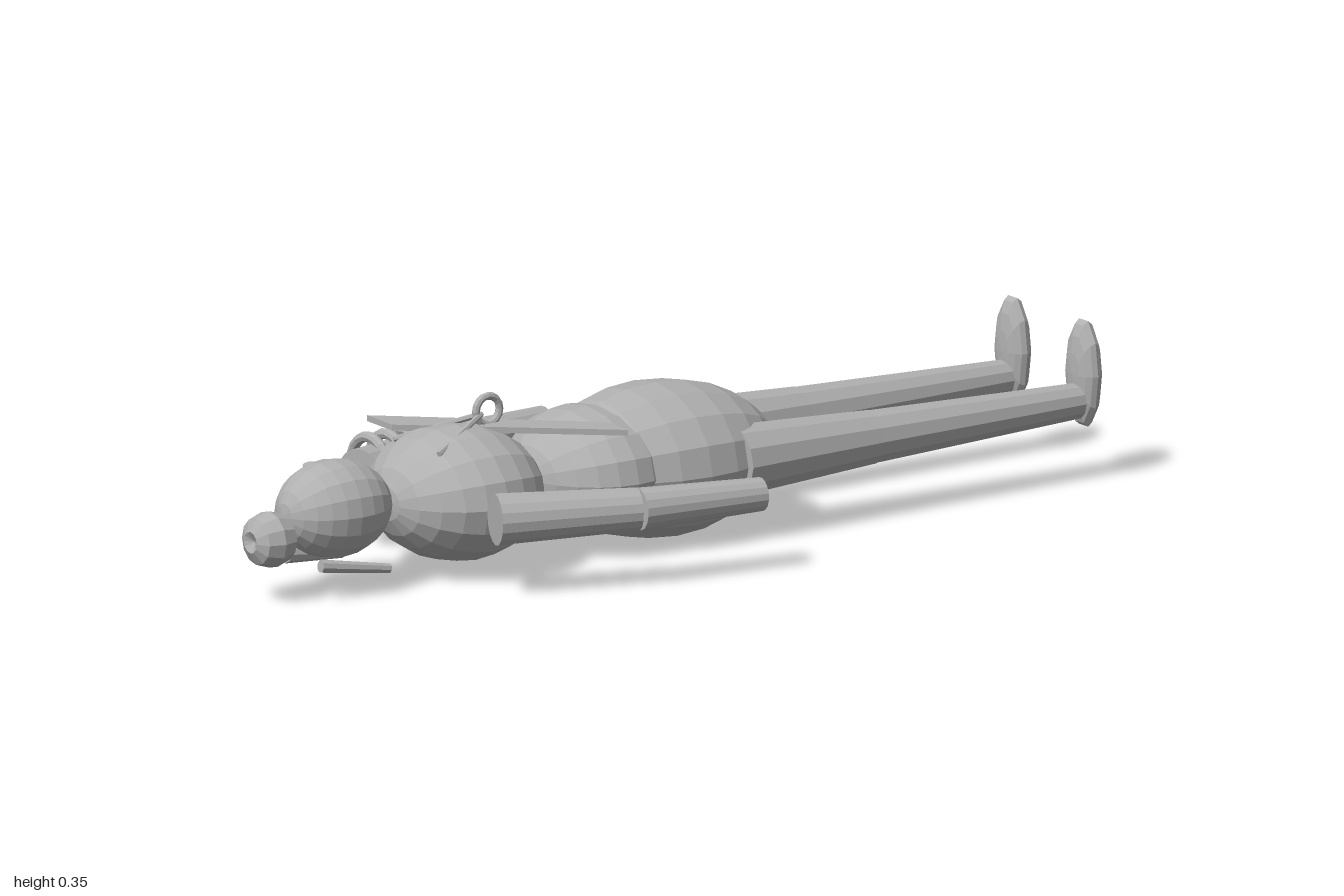
import * as THREE from 'three';

export function createModel() {
  const model = new THREE.Group();
  model.name = 'recliningFigure';
  const grey = new THREE.MeshStandardMaterial({ color: 0xb0b0b0, flatShading: true });
  grey.name = 'plain grey';

  const add = (name, geometry, x = 0, y = 0, z = 0) => {
    const mesh = new THREE.Mesh(geometry, grey);
    mesh.name = name;
    mesh.position.set(x, y, z);
    model.add(mesh);
    return mesh;
  };

  // Ellipsoid with its poles along z
  const ellipsoid = (name, [x, y, z], [rx, ry, rz], sides = 16, rings = 12) =>
    add(name, new THREE.SphereGeometry(1, sides, rings).rotateX(Math.PI / 2).scale(rx, ry, rz), x, y, z);

  // Tapered rod between two points
  const rod = (name, from, to, r0, r1, sides = 12) => {
    const a = new THREE.Vector3(...from), b = new THREE.Vector3(...to);
    const dir = b.clone().sub(a);
    const mesh = add(name, new THREE.CylinderGeometry(r1, r0, dir.length(), sides));
    mesh.position.copy(a).add(b).multiplyScalar(0.5);
    mesh.quaternion.setFromUnitVectors(new THREE.Vector3(0, 1, 0), dir.normalize());
    return mesh;
  };

  // Body and head
  ellipsoid('hips', [0, 0.159, 0], [0.195, 0.157, 0.265]);
  ellipsoid('waist', [0, 0.165, 0.17], [0.18, 0.127, 0.16]);
  ellipsoid('chest', [0, 0.163, 0.495], [0.185, 0.138, 0.177]);
  ellipsoid('head', [0, 0.172, 0.795], [0.1, 0.1, 0.126]);
  add('hairBun', new THREE.TorusGeometry(0.022, 0.036, 8, 12).scale(1, 1, 1.32), 0, 0.13, 0.953);

  // Limbs
  for (const [side, s] of [['left', 1], ['right', -1]]) {
    rod(side + 'Thigh', [s * 0.122, 0.163, -0.1], [s * 0.122, 0.163, -0.437], 0.074, 0.056);
    rod(side + 'Shin', [s * 0.122, 0.163, -0.437], [s * 0.122, 0.163, -0.95], 0.055, 0.037);
    ellipsoid(side + 'Foot', [s * 0.12, 0.218, -0.971], [0.05, 0.114, 0.028], 10, 8);
    rod(side + 'UpperArm', [s * 0.23, 0.16, 0.563], [s * 0.326, 0.16, 0.282], 0.053, 0.044, 16);
    rod(side + 'Forearm', [s * 0.328, 0.16, 0.28], [s * 0.37, 0.16, 0.008], 0.043, 0.034, 16);
    // Chain rods running from the pendant to the shoulders
    rod(side + 'NecklaceRod', [0, 0.312, 0.43], [s * 0.077, 0.268, 0.59], 0.006, 0.006, 6);
    // Hair pins behind the head
    rod(side + 'HairPin', [s * 0.06, 0.075, 0.87], [s * 0.08, 0.052, 0.715],
      s < 0 ? 0.018 : 0.014, 0.01, 8);
  }

  // Bangles on the right arm
  for (const z of [0.42, 0.465, 0.51])
    add('bangle', new THREE.TorusGeometry(0.063, 0.011, 8, 20), -0.267, 0.16, z);

  // Ring pendant standing on the chest
  add('pendantRing', new THREE.TorusGeometry(0.029, 0.008, 8, 16).rotateY(Math.PI / 2), 0, 0.318, 0.414);

  // Diagonal sash across the chest
  const outline = [[-0.175, -0.585], [-0.09, -0.585], [0.195, -0.21], [0.125, -0.21]];
  const sash = new THREE.ExtrudeGeometry(
    new THREE.Shape(outline.map(([x, y]) => new THREE.Vector2(x, y))),
    { depth: 0.012, bevelEnabled: false });
  add('sash', sash.rotateX(-Math.PI / 2), 0, 0.28, 0).rotation.z = -0.03;

  // Hair ornament with a hanging string of beads
  ellipsoid('hairOrnament', [-0.07, 0.248, 0.8], [0.011, 0.006, 0.019], 8, 6);
  for (let i = 0; i < 7; i++)
    ellipsoid('bead', [-0.1 + 0.004 * Math.sin(i), 0.16 - i * 0.009, 0.82 - i * 0.005],
      [0.007, 0.007, 0.007], 8, 6);

  return model;
}
